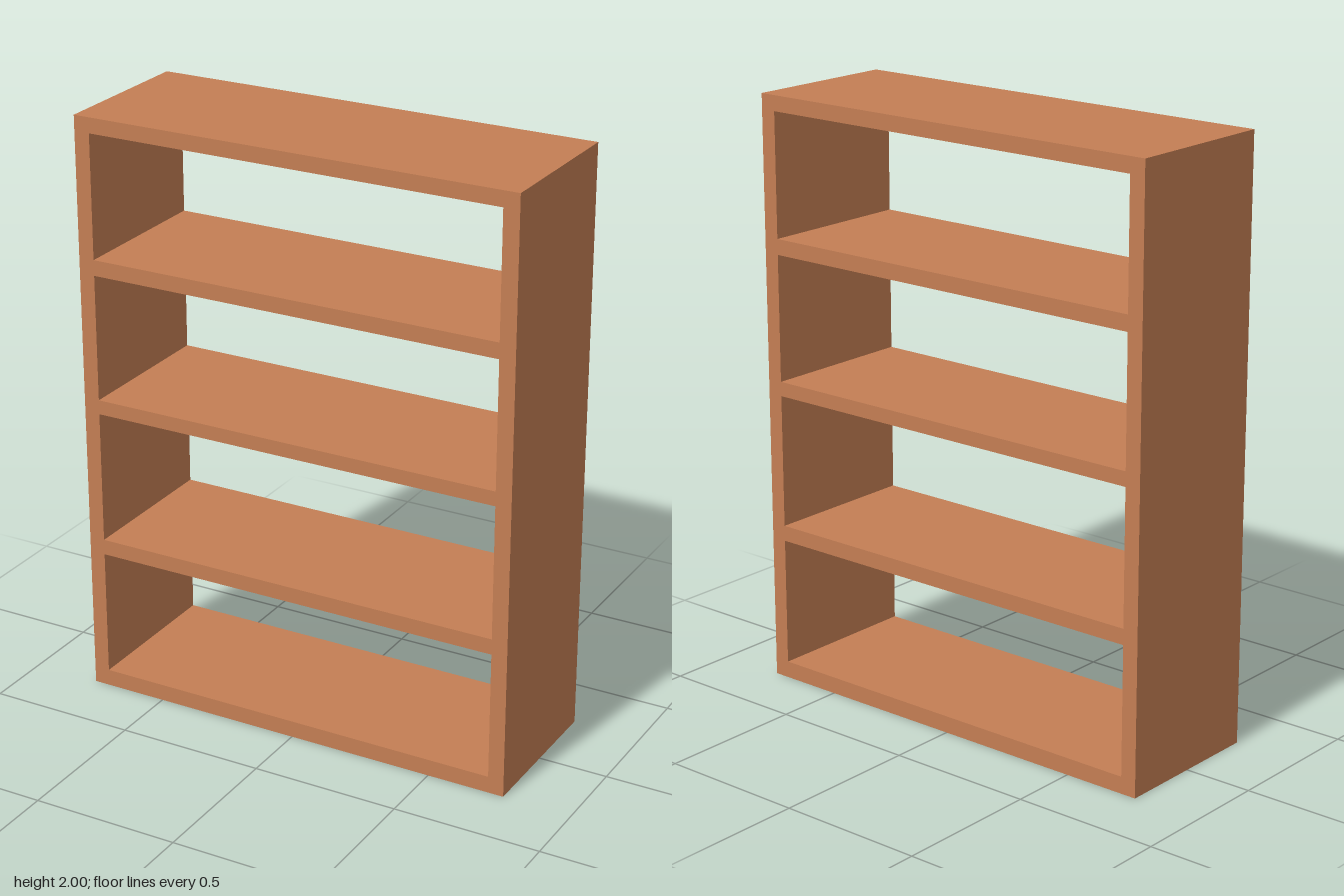
import * as THREE from 'three';

const HALF_WIDTH = 0.766;
const HEIGHT = 2;
const DEPTH = 0.54;
const INNER_X = 0.712;
// bottom and top of each open compartment
const COMPARTMENTS = [[0.057, 0.493], [0.546, 0.999], [1.048, 1.477], [1.53, 1.948]];

// Closed rectangle from its corner coordinates
function rectangle(path, x0, y0, x1, y1) {
  path.moveTo(x0, y0);
  path.lineTo(x1, y0);
  path.lineTo(x1, y1);
  path.lineTo(x0, y1);
  path.closePath();
  return path;
}

export function createModel() {
  const model = new THREE.Group();
  model.name = 'bookcase';

  // Seamless outer case and shelves, open through front and back
  const outline = rectangle(new THREE.Shape(), -HALF_WIDTH, 0, HALF_WIDTH, HEIGHT);
  for (const [bottom, top] of COMPARTMENTS) {
    outline.holes.push(rectangle(new THREE.Path(), -INNER_X, bottom, INNER_X, top));
  }
  const geometry = new THREE.ExtrudeGeometry(outline, { depth: DEPTH, bevelEnabled: false });
  geometry.translate(0, 0, -DEPTH / 2);

  const wood = new THREE.MeshStandardMaterial({ color: 0xc47e54 });
  const frame = new THREE.Mesh(geometry, wood);
  frame.name = 'caseAndShelves';
  model.add(frame);
  return model;
}
